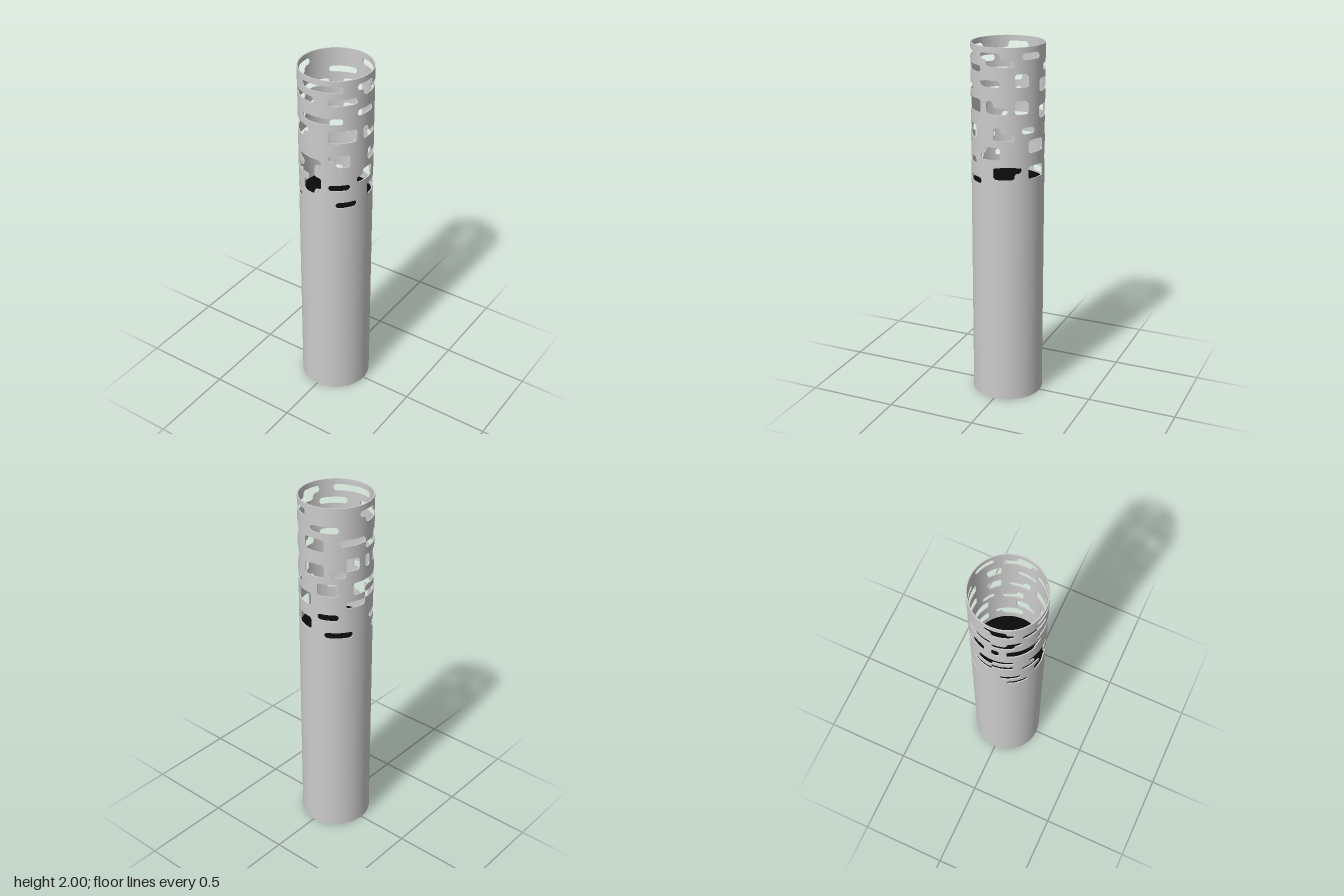
import * as THREE from 'three';

const R = 0.198, RI = 0.192, CUT = 1.25, TOP = 2, SEG = 160, ROWS = 104;

// The pattern lies on a grid of 32 cells around and 20 rows down from PATTERN_TOP
const CELL = Math.PI / 16, ROW_H = 0.0354, PATTERN_TOP = 1.97, SOFT = 0.012;

// Open runs of each row, as pairs of cell borders; 0 is the front, 8 is +x.
// Runs that touch from row to row merge into stepped openings.
const openRuns = [
  [-9, -6, -2, 4, 6, 9, 12, 15],
  [-8, -5, 7, 11],
  [-4, 0, 2, 6, 16, 20],
  [11, 13],
  [-6, -4, 6, 9, 11, 13, 15, 18, 20, 24],
  [-8, -5, -2, 4, 15, 18],
  [],
  [-6, -1, 2, 6, 7, 8, 11, 13, 21, 23, 24, 25],
  [-6, -2, 2, 6, 7, 10, 11, 13, 15, 18, 21, 23, 24, 25],
  [15, 18, 19, 21],
  [],
  [-8, -5, 2, 5, 8, 9, 12, 14, 17, 20, 22, 24],
  [-3, 1, 3, 5, 8, 11, 17, 20, 22, 24],
  [-8, -5, -2, 0, 13, 16],
  [-4, 0, 7, 9, 13, 16, 21, 24],
  [-1, 1, 6, 9],
  [-2, 1, 2, 5, 17, 20],
  [-7, -4, -2, 0, 8, 12, 13, 16],
  [8, 11, 13, 16],
  [-6, -3, 3, 6, 18, 22],
];

// Soft-edged span around zero: 1 inside, 0 outside, 0.5 on the border
const span = (d, half) => {
  const ramp = (v) => THREE.MathUtils.clamp(0.5 + v / (2 * SOFT), 0, 1);
  return ramp(d + half) - ramp(d - half);
};

// Positive where the wall is solid; the soft spans round all corners of the openings
function solidity(t, y) {
  let open = 0;
  openRuns.forEach((runs, row) => {
    const inRow = span(y - (PATTERN_TOP - (row + 0.5) * ROW_H), ROW_H / 2);
    if (inRow === 0) return;
    for (let k = 0; k < runs.length; k += 2) {
      const da = t - ((runs[k] + runs[k + 1]) / 2) * CELL;
      const arc = R * Math.atan2(Math.sin(da), Math.cos(da));
      open += inRow * span(arc, ((runs[k + 1] - runs[k]) / 2) * CELL * R);
    }
  });
  return 0.5 - open;
}

// Pierced wall: each mesh cell is clipped by the openings, on both skins, with edge walls between
function piercedWall() {
  const pos = [], nor = [];
  const point = ([t, y], r) => new THREE.Vector3(r * Math.sin(t), y, r * Math.cos(t));
  const radial = (sign) => ([t]) => new THREE.Vector3(sign * Math.sin(t), 0, sign * Math.cos(t));
  const tri = (pts, normals) => pts.forEach((p, i) => {
    pos.push(...p.toArray());
    nor.push(...normals[i].toArray());
  });
  const outN = radial(1), inN = radial(-1);
  const dT = (2 * Math.PI) / SEG, dY = (TOP - CUT) / ROWS;
  const field = [];
  for (let j = 0; j <= ROWS; j++) {
    field.push(Array.from({ length: SEG + 1 }, (_, i) => solidity(i * dT, CUT + j * dY)));
  }
  for (let j = 0; j < ROWS; j++) for (let i = 0; i < SEG; i++) {
    // Outline of the solid part of this cell
    const corners = [[i, j], [i + 1, j], [i + 1, j + 1], [i, j + 1]];
    const poly = [], exits = [];
    corners.forEach(([ci, cj], k) => {
      const [ni, nj] = corners[(k + 1) % 4];
      const d0 = field[cj][ci], d1 = field[nj][ni];
      if (d0 > 0) poly.push([ci * dT, CUT + cj * dY]);
      if (d0 > 0 !== d1 > 0) {
        const f = d0 / (d0 - d1);
        if (d0 > 0) exits.push(poly.length);
        poly.push([(ci + (ni - ci) * f) * dT, CUT + (cj + (nj - cj) * f) * dY]);
      }
    });
    // Outer and inner skin
    for (let k = 1; k < poly.length - 1; k++) {
      const f = [poly[0], poly[k], poly[k + 1]], b = [poly[0], poly[k + 1], poly[k]];
      tri(f.map((p) => point(p, R)), f.map(outN));
      tri(b.map((p) => point(p, RI)), b.map(inN));
    }
    // Cut edges of the openings
    for (const k of exits) {
      const a = poly[k], b = poly[(k + 1) % poly.length];
      const ia = point(a, RI), ib = point(b, RI), oa = point(a, R), ob = point(b, R);
      const n = ib.clone().sub(ia).cross(ob.clone().sub(ia)).normalize();
      tri([ia, ib, ob], [n, n, n]);
      tri([ia, ob, oa], [n, n, n]);
    }
  }
  const geo = new THREE.BufferGeometry();
  geo.setAttribute('position', new THREE.Float32BufferAttribute(pos, 3));
  geo.setAttribute('normal', new THREE.Float32BufferAttribute(nor, 3));
  return geo;
}

export function createModel() {
  const group = new THREE.Group();
  const grey = new THREE.MeshStandardMaterial({ color: 0xcccccc });
  const black = new THREE.MeshStandardMaterial({ color: 0x0a0a0a });
  const add = (name, geo, mat, y = 0) => {
    const mesh = new THREE.Mesh(geo, mat);
    mesh.name = name;
    mesh.position.y = y;
    group.add(mesh);
    return mesh;
  };

  // Plain lower post and its underside
  add('lowerPost', new THREE.CylinderGeometry(R, R, CUT, SEG, 1, true), grey, CUT / 2);
  add('base', new THREE.CircleGeometry(R, SEG), grey).rotation.x = Math.PI / 2;

  // Pierced upper sleeve with its flat rim
  add('piercedSleeve', piercedWall(), grey);
  add('topRim', new THREE.RingGeometry(RI, R, SEG), grey, TOP).rotation.x = -Math.PI / 2;

  // Dark floor inside the sleeve
  add('innerFloor', new THREE.CylinderGeometry(RI, RI, 0.02, SEG), black, CUT - 0.008);
  return group;
}
